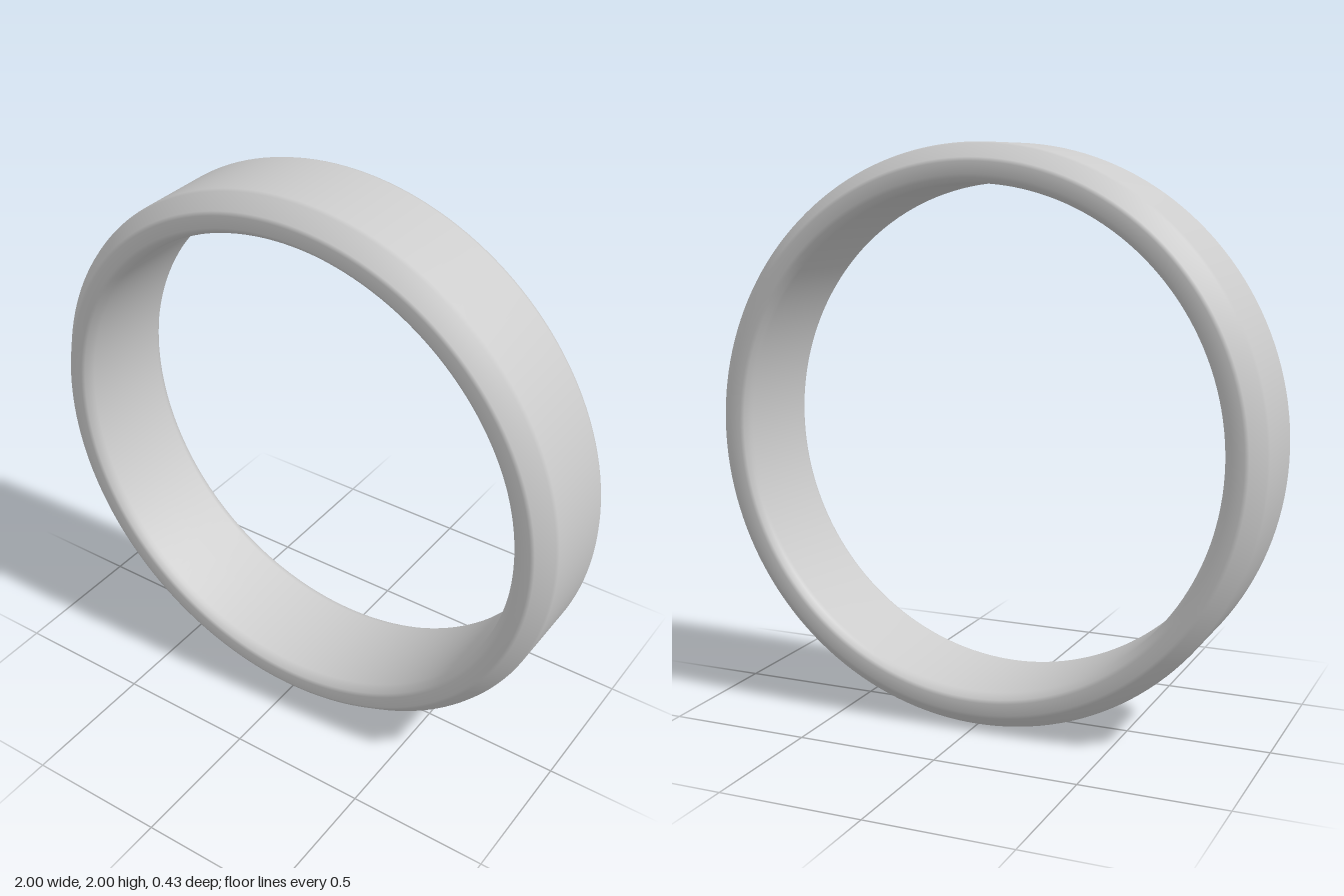
import * as THREE from 'three';

// Half cross-section corners as (radius, depth), from the bore to the outer wall
const HALF = [[0.866, 0.185], [0.888, 0.215], [0.945, 0.215], [1, 0.15]];
const SOFT = 0.008; // size of the softened corners

function bandProfile() {
  const corners = [
    ...HALF.map(([r, z]) => new THREE.Vector2(r, -z)),
    ...[...HALF].reverse().map(([r, z]) => new THREE.Vector2(r, z)),
  ];
  const n = corners.length;
  const seam = new THREE.Vector2(HALF[0][0], 0); // hidden in the middle of the bore
  const points = [seam];
  corners.forEach((c, i) => {
    const toward = (p) => c.clone().add(p.clone().sub(c).setLength(SOFT));
    points.push(toward(corners[(i + n - 1) % n]), toward(corners[(i + 1) % n]));
  });
  points.push(seam.clone());
  return points;
}

export function createModel() {
  const group = new THREE.Group();
  group.name = 'ring';

  // Plain band with wide outer chamfers and small bore bevels
  const geometry = new THREE.LatheGeometry(bandProfile(), 160);
  geometry.rotateX(Math.PI / 2);
  geometry.translate(0, 1, 0);
  const band = new THREE.Mesh(geometry, new THREE.MeshStandardMaterial({ color: 0xcccccc }));
  band.name = 'band';
  group.add(band);

  return group;
}
